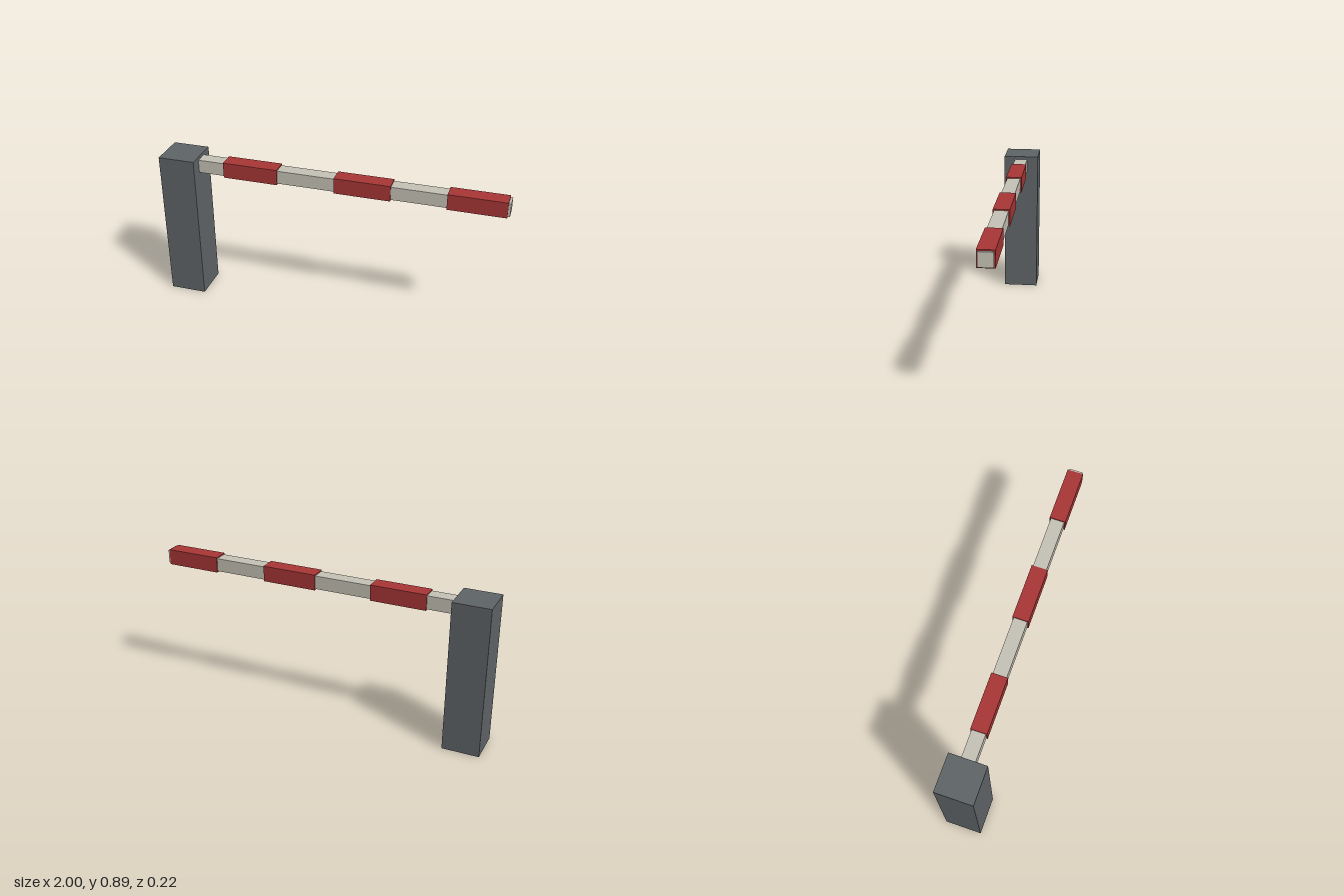
import * as THREE from 'three';

const material = (name, color) => {
  const m = new THREE.MeshStandardMaterial({ color });
  m.name = name;
  return m;
};

export function createModel() {
  const group = new THREE.Group();
  group.name = 'barrierGate';

  const darkGrey = material('darkGrey', 0x5f6467);
  const offWhite = material('offWhite', 0xc6c2b6);
  const red = material('red', 0xa83636);

  // Box spanning x0..x1, centred on z = 0
  const bar = (name, mat, x0, x1, y, height, depth) => {
    const mesh = new THREE.Mesh(new THREE.BoxGeometry(x1 - x0, height, depth), mat);
    mesh.position.set((x0 + x1) / 2, y, 0);
    mesh.name = name;
    group.add(mesh);
  };

  // Upright post
  bar('post', darkGrey, -1, -0.785, 0.445, 0.89, 0.215);

  // Square boom, set slightly into the post
  const armY = 0.833;
  bar('boomArm', offWhite, -0.8, 1, armY, 0.078, 0.078);

  // Red sleeves around the boom
  [[-0.63, -0.307], [0.027, 0.35], [0.662, 0.987]].forEach(([x0, x1], i) =>
    bar(`redBand${i + 1}`, red, x0, x1, armY, 0.092, 0.092));

  return group;
}
